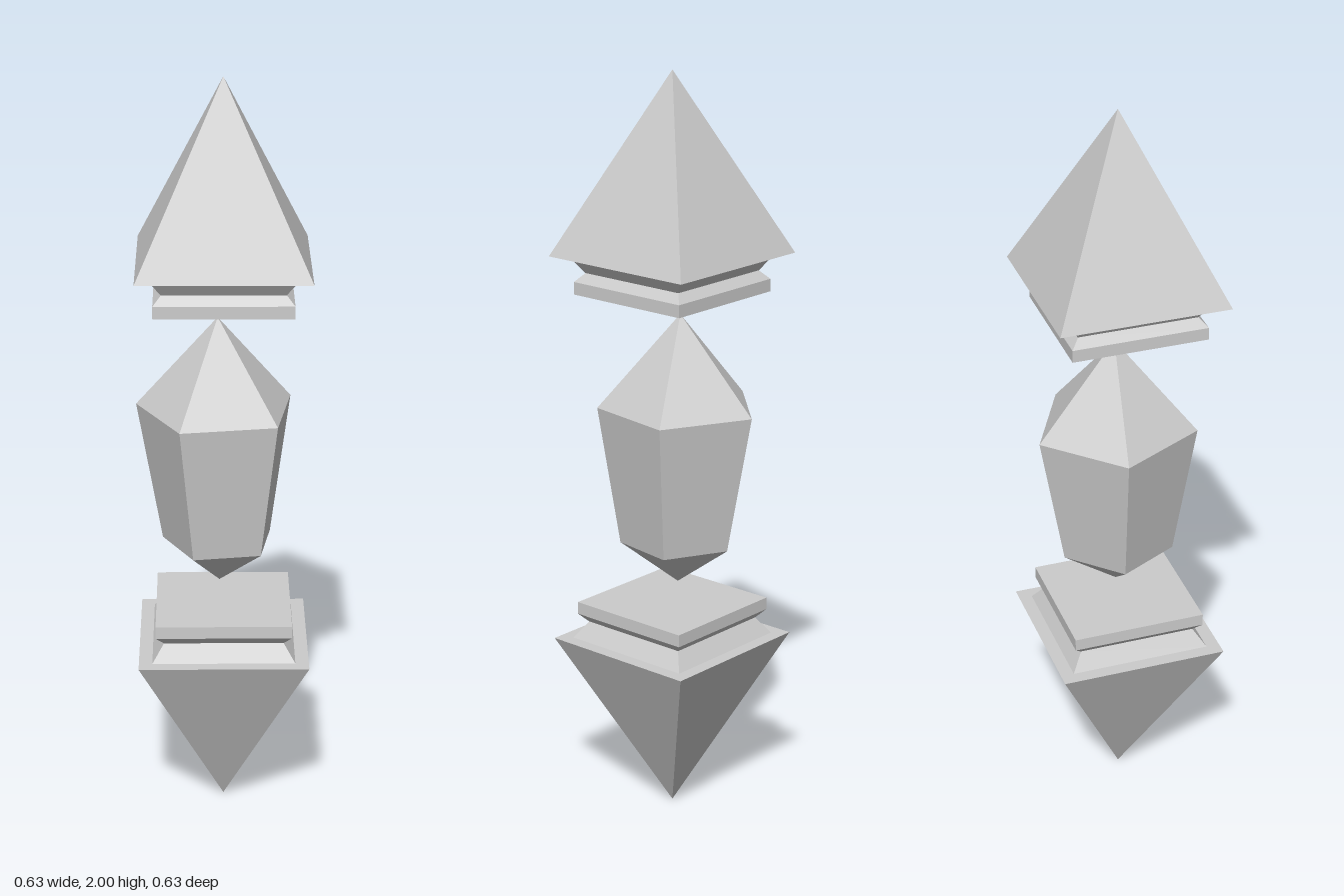
import * as THREE from 'three';

const material = new THREE.MeshStandardMaterial({ color: 0xcccccc, flatShading: true });

// Faceted solid: [radius, y] profile, bottom to top, swept around the y axis
function faceted(name, profile, sides, startAngle) {
  const points = profile.map(([r, y]) => new THREE.Vector2(r, y));
  const mesh = new THREE.Mesh(new THREE.LatheGeometry(points, sides, startAngle), material);
  mesh.name = name;
  return mesh;
}

export function createModel() {
  const group = new THREE.Group();
  group.name = 'floatingCrystal';

  // Upper cap: square plate, pinched neck, flat overhang and pyramid
  const cap = [
    [0, 1.426], [0.252, 1.426], [0.252, 1.459], [0.222, 1.482],
    [0.265, 1.527], [0.315, 1.527], [0, 2],
  ];
  group.add(faceted('upperCap', cap, 4, 0));

  // Lower cap: the same profile turned upside down
  const base = cap.map(([r, y]) => [r, Math.min(2.009 - y, y === 2 ? 0 : 2)]).reverse();
  group.add(faceted('lowerCap', base, 4, 0));

  // Five-sided crystal floating between the caps, a corner towards +x
  const crystal = faceted('crystal', [
    [0, 0.637], [0.152, 0.75], [0.216, 1.122], [0, 1.37],
  ], 5, Math.PI / 2);

  // Centre each ring of the crystal across its width
  const pos = crystal.geometry.attributes.position;
  for (let i = 0; i < pos.count; i++) {
    const y = THREE.MathUtils.clamp(pos.getY(i), 0.75, 1.122);
    pos.setX(i, pos.getX(i) - 0.0145 - 0.016 * (y - 0.75));
  }
  crystal.geometry.computeVertexNormals();
  group.add(crystal);

  return group;
}
